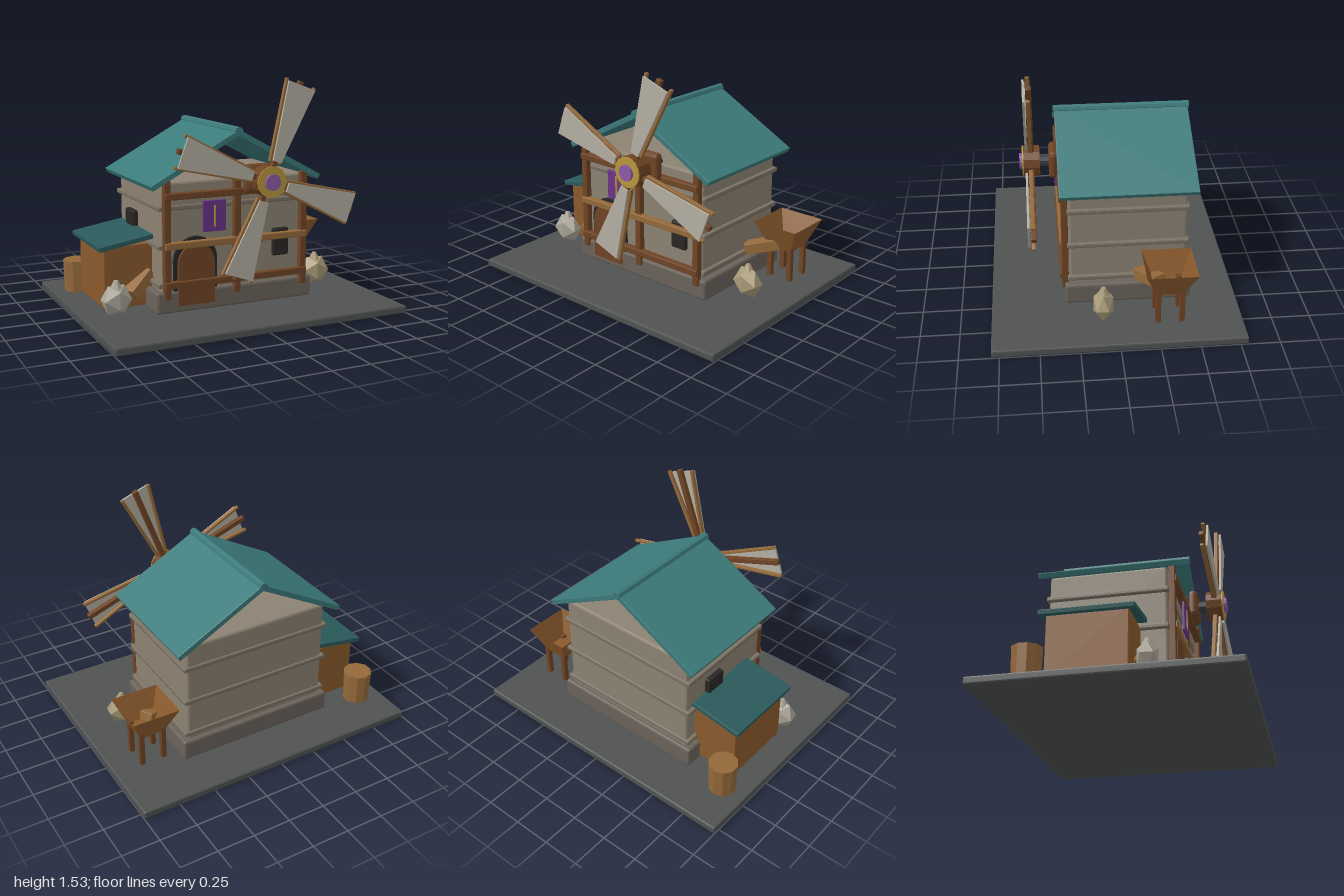
import * as THREE from 'three';
import { RoundedBoxGeometry } from 'three/addons/geometries/RoundedBoxGeometry.js';

const COLORS = {
  slab: 0x505252, stone: 0x6a625a, wall: 0x8c8272, band: 0x7b7264, teal: 0x3c7a7a, darkTeal: 0x2b5a5c,
  wood: 0x6f4425, oak: 0x94693a, plank: 0x8a5a2c, dark: 0x2a2624, iron: 0x3c4042,
  cloth: 0xb4afa2, gold: 0xb8963c, purple: 0x6a3488, gem: 0x8c5aa8, sackGrey: 0xaaa598, sackTan: 0xa89a78,
};
const mats = {};
function mat(key) {
  return (mats[key] ??= new THREE.MeshStandardMaterial({
    color: COLORS[key], flatShading: true, side: THREE.DoubleSide,
  }));
}

export function createModel() {
  const model = new THREE.Group();

  function add(name, geometry, color, x = 0, y = 0, z = 0, parent = model) {
    const mesh = new THREE.Mesh(geometry, mat(color));
    mesh.name = name;
    mesh.position.set(x, y, z);
    parent.add(mesh);
    return mesh;
  }
  // Chamfered box given by its limits on each axis
  function block(name, color, [x0, x1], [y0, y1], [z0, z1], chamfer = 0.006, parent = model) {
    const g = new RoundedBoxGeometry(x1 - x0, y1 - y0, z1 - z0, 1, chamfer);
    return add(name, g, color, (x0 + x1) / 2, (y0 + y1) / 2, (z0 + z1) / 2, parent);
  }
  // Beam between two points in the xy plane
  function beam(name, color, [ax, ay], [bx, by], width, depth, z, parent = model) {
    const g = new RoundedBoxGeometry(Math.hypot(bx - ax, by - ay), width, depth, 1, 0.004);
    const m = add(name, g, color, (ax + bx) / 2, (ay + by) / 2, z, parent);
    m.rotation.z = Math.atan2(by - ay, bx - ax);
    return m;
  }

  // Ground slab, foundation and walls
  block('groundSlab', 'slab', [-1, 1], [0, 0.05], [-0.8, 0.8], 0.01);
  block('foundation', 'stone', [-0.555, 0.555], [0.05, 0.19], [-0.495, 0.32], 0.015);
  block('walls', 'wall', [-0.51, 0.51], [0.17, 0.888], [-0.465, 0.29], 0.015);
  for (const y of [0.23, 0.478, 0.725]) {
    block('wallBand', 'band', [-0.535, 0.535], [y - 0.016, y + 0.016], [-0.477, 0.302], 0.008);
  }

  // Gabled roof, open at both ends
  for (const s of [-1, 1]) {
    beam('roofPanel', 'teal', [s * 0.592, 0.863], [0, 1.183], 0.036, 0.87, -0.0875);
  }
  const ridge = add('ridgeBeam', new THREE.CylinderGeometry(0.028, 0.028, 0.885, 8), 'teal', 0, 1.193, -0.0875);
  ridge.rotation.x = Math.PI / 2;

  // Timber frame on the front
  for (const x of [-0.485, 0, 0.485]) {
    block('framePost', 'wood', [x - 0.023, x + 0.023], [0.145, 0.905], [0.295, 0.338]);
  }
  [[0.805, 'wood'], [0.49, 'oak'], [0.238, 'wood']].forEach(([y, c]) => {
    block('frameRail', c, [-0.505, 0.505], [y - 0.022, y + 0.022], [0.305, 0.35]);
  });

  // Arched door with a dark surround
  const arch = (r, bottom, spring) => {
    const s = new THREE.Shape();
    s.moveTo(-r, bottom);
    s.lineTo(r, bottom);
    s.lineTo(r, spring);
    s.absarc(0, spring, r, 0, Math.PI, false);
    s.closePath();
    return s;
  };
  const surround = arch(0.15, 0.19, 0.385);
  add('doorSurround', new THREE.ExtrudeGeometry(surround, { depth: 0.025, bevelEnabled: false, curveSegments: 6 }),
    'dark', -0.285, 0, 0.285);
  add('door', new THREE.ExtrudeGeometry(arch(0.125, 0.095, 0.365), { depth: 0.045, bevelEnabled: false, curveSegments: 6 }),
    'wood', -0.285, 0, 0.285);

  // Windows and hanging banner
  block('frontWindow', 'dark', [0.27, 0.385], [0.35, 0.535], [0.27, 0.315], 0.01);
  block('sideWindow', 'dark', [-0.545, -0.49], [0.4, 0.64], [-0.28, -0.13], 0.01);
  block('banner', 'purple', [-0.25, -0.09], [0.565, 0.765], [0.335, 0.352], 0.003);
  block('bannerStripe', 'gold', [-0.177, -0.163], [0.595, 0.735], [0.35, 0.358], 0.002);

  // Lean-to shed
  block('shedBody', 'plank', [-0.835, -0.5], [0.07, 0.475], [-0.38, 0.12]);
  beam('shedRoof', 'darkTeal', [-0.875, 0.468], [-0.515, 0.527], 0.032, 0.58, -0.128);
  const shedChute = add('shedChute', new RoundedBoxGeometry(0.2, 0.08, 0.09, 1, 0.004), 'oak', -0.6, 0.22, 0.13);
  shedChute.rotation.set(0, 0.4, 0.65);

  // Barrel beside the shed
  add('barrel', new THREE.CylinderGeometry(0.097, 0.09, 0.215, 10), 'oak', -0.825, 0.157, -0.487);

  // Faceted sacks with tied necks
  function sack(color, x, z, depth, turn) {
    const g = new THREE.Group();
    g.name = 'sack';
    const body = add('sackBody', new THREE.IcosahedronGeometry(0.108, 0), color, 0, 0.108, 0, g);
    body.scale.z = depth;
    add('sackNeck', new THREE.CylinderGeometry(0.014, 0.042, 0.055, 7), color, 0, 0.205, 0, g);
    g.position.set(x, 0.05, z);
    g.rotation.y = turn;
    model.add(g);
  }
  sack('sackGrey', -0.79, 0.22, 0.68, 0.1);
  sack('sackTan', 0.72, 0.088, 0.68, -0.1);

  // Open hopper on four legs
  const hopper = new THREE.Group();
  hopper.name = 'hopper';
  hopper.position.set(0.737, 0, -0.325);
  model.add(hopper);
  const funnel = new THREE.CylinderGeometry(0.16 * Math.SQRT2, 0.085 * Math.SQRT2, 0.175, 4, 1, true);
  add('hopperFunnel', funnel.rotateY(Math.PI / 4), 'plank', 0, 0.368, 0, hopper);
  block('hopperFloor', 'plank', [-0.085, 0.085], [0.275, 0.29], [-0.085, 0.085], 0.003, hopper);
  for (const x of [-0.076, 0.076]) for (const z of [-0.076, 0.076]) {
    block('hopperLeg', 'wood', [x - 0.017, x + 0.017], [0.07, 0.31], [z - 0.017, z + 0.017], 0.003, hopper);
  }
  const chute = add('hopperChute', new RoundedBoxGeometry(0.23, 0.075, 0.09, 1, 0.004), 'oak', 0.615, 0.28, -0.215);
  chute.rotation.set(0, 0.5, 0.25);

  // Windmill: wall bearing, axle and hub along z
  const mill = new THREE.Group();
  mill.name = 'windmill';
  mill.position.set(0.125, 0.89, 0);
  model.add(mill);
  function disc(name, color, r, z0, z1, sides) {
    const g = new THREE.CylinderGeometry(r, r, z1 - z0, sides).rotateX(Math.PI / 2);
    return add(name, g, color, 0, 0, (z0 + z1) / 2, mill);
  }
  block('axleBearing', 'wood', [-0.097, 0.097], [-0.093, 0.093], [0.335, 0.395], 0.025, mill);
  disc('axle', 'iron', 0.04, 0.27, 0.47, 10);
  disc('hub', 'wood', 0.1, 0.452, 0.558, 12);
  disc('hubPlate', 'gold', 0.1, 0.556, 0.565, 16);
  disc('hubGem', 'gem', 0.052, 0.56, 0.583, 14);

  // Four sails, each a tapered cloth over a spar with edge battens
  for (let i = 0; i < 4; i++) {
    const sail = new THREE.Group();
    sail.name = 'sail';
    sail.rotation.z = THREE.MathUtils.degToRad(70 + 90 * i);
    mill.add(sail);
    beam('spar', 'wood', [0.05, 0], [0.655, 0], 0.036, 0.034, 0.507, sail);
    const cloth = new THREE.Shape([[0.13, -0.03], [0.63, -0.1], [0.63, 0.1], [0.13, 0.03]]
      .map(([x, y]) => new THREE.Vector2(x, y)));
    add('sailCloth', new THREE.ExtrudeGeometry(cloth, { depth: 0.014, bevelEnabled: false }), 'cloth', 0, 0, 0.532, sail);
    for (const s of [-1, 1]) {
      beam('sailBatten', 'oak', [0.12, s * 0.033], [0.645, s * 0.103], 0.02, 0.026, 0.512, sail);
    }
  }
  return model;
}
